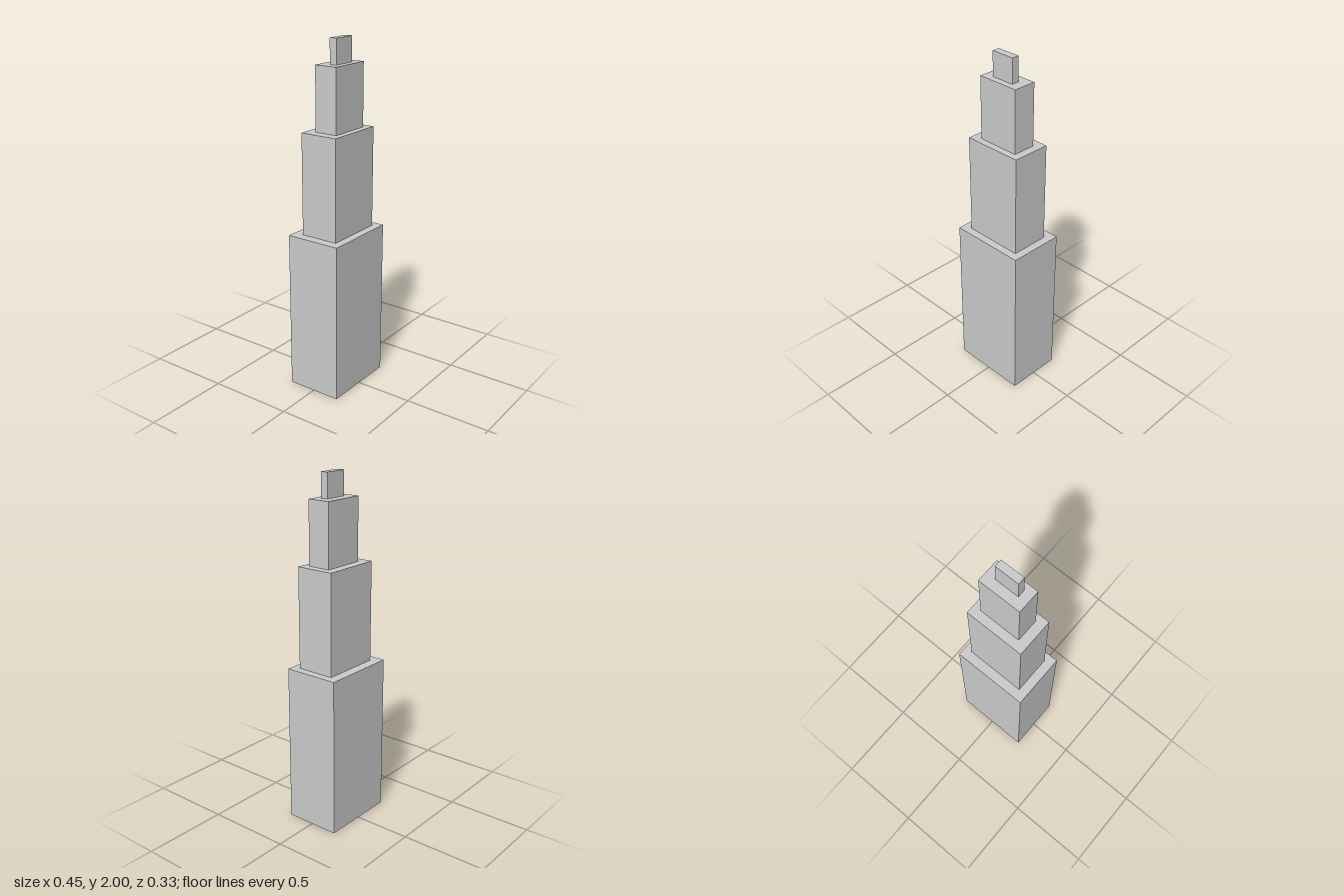
import * as THREE from 'three';

// Stepped tower: each tier is a block given by its extents
const tiers = [
  { name: 'baseTier', x: [-0.226, 0.226], y: [0, 0.925], z: [-0.163, 0.163] },
  { name: 'lowerTier', x: [-0.172, 0.18], y: [0.925, 1.504], z: [-0.107, 0.118] },
  { name: 'upperTier', x: [-0.116, 0.134], y: [1.504, 1.862], z: [-0.055, 0.08] },
  { name: 'topBlock', x: [-0.062, 0.077], y: [1.862, 2], z: [0, 0.043] },
];

export function createModel() {
  const tower = new THREE.Group();
  tower.name = 'steppedTower';
  const material = new THREE.MeshStandardMaterial({ color: 0xcccccc });

  for (const { name, x, y, z } of tiers) {
    const size = [x, y, z].map(([min, max]) => max - min);
    const centre = [x, y, z].map(([min, max]) => (min + max) / 2);
    const tier = new THREE.Mesh(new THREE.BoxGeometry(...size), material);
    tier.name = name;
    tier.position.set(...centre);
    tower.add(tier);
  }
  return tower;
}
